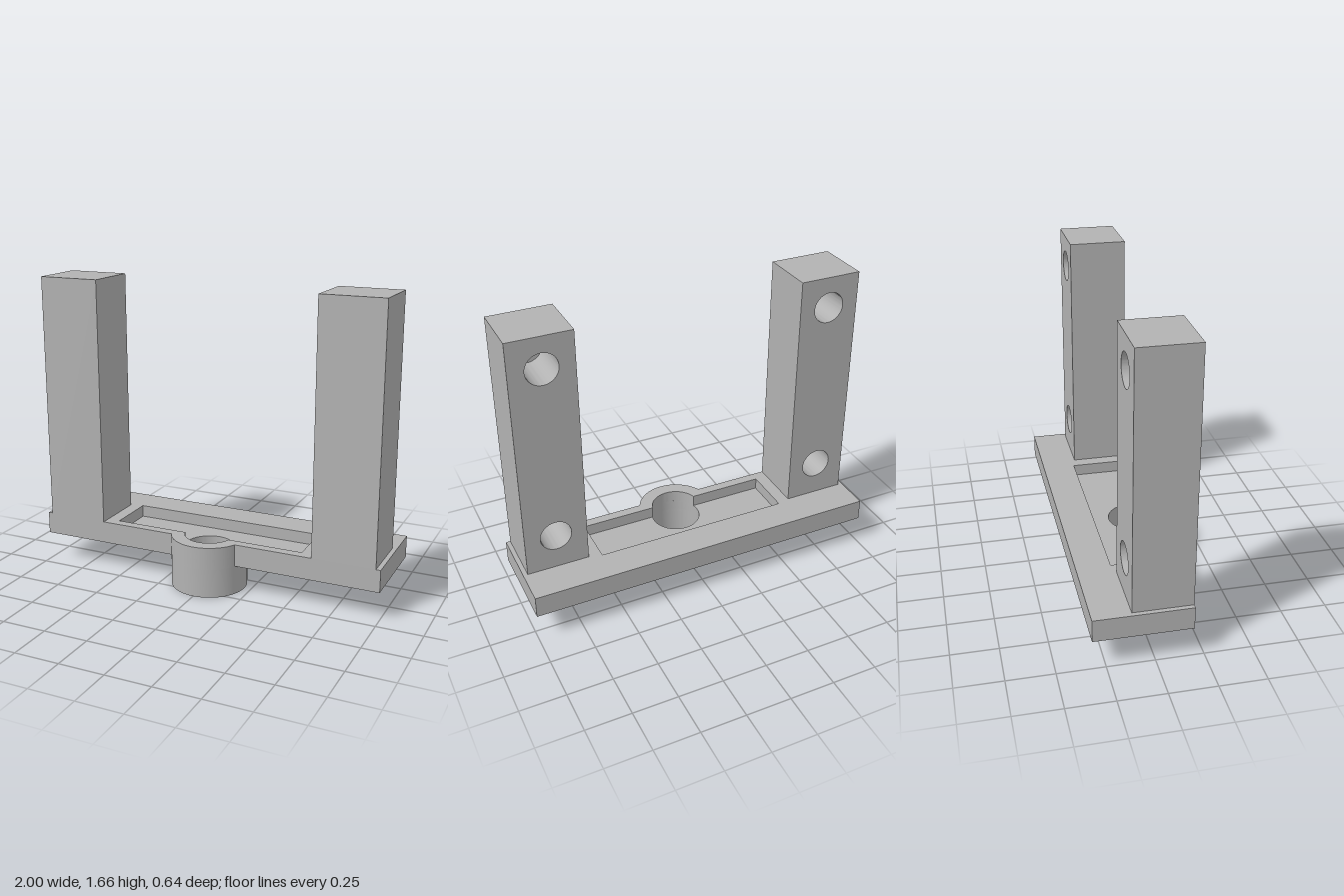
import * as THREE from 'three';
import { toCreasedNormals } from 'three/addons/utils/BufferGeometryUtils.js';

const CZ = 0.108, R_OUT = 0.211, R_IN = 0.137; // collar centre and radii
const BASE_Y = 0.163, FLOOR_Y = 0.22, TOP_Y = 0.287, POST_Y = 1.665;

// Rectangle in plan (x, z) whose front edge bulges out along a circle round the collar axis
function bulgedRect(target, halfW, back, front, r) {
  const a = Math.asin((front - CZ) / r);
  target.moveTo(-halfW, back);
  target.lineTo(halfW, back);
  target.lineTo(halfW, front);
  target.lineTo(r * Math.cos(a), front);
  target.absarc(0, CZ, r, a, Math.PI - a, false);
  target.lineTo(-halfW, front);
  target.closePath();
  return target;
}

const circle = (x, y, r) => new THREE.Path().absarc(x, y, r, 0, Math.PI * 2, true);

const extrude = (shape, depth) =>
  new THREE.ExtrudeGeometry(shape, { depth, bevelEnabled: false, curveSegments: 40 });

// Extrude a plan shape vertically between two heights
function slab(shape, y0, y1) {
  const g = extrude(shape, y1 - y0).rotateX(Math.PI / 2).translate(0, y1, 0);
  return toCreasedNormals(g, 0.5);
}

export function createModel() {
  const group = new THREE.Group();
  const grey = new THREE.MeshStandardMaterial({ color: 0xb2b2b2 });
  grey.name = 'grey';
  const add = (name, geometry, parent = group) => {
    const mesh = new THREE.Mesh(geometry, grey);
    mesh.name = name;
    parent.add(mesh);
  };

  // Base plate: floor with round bore, then rim around the shallow pocket
  const floor = bulgedRect(new THREE.Shape(), 1, -0.32, 0.197, R_OUT);
  floor.holes.push(circle(0, CZ, R_IN));
  add('baseFloor', slab(floor, BASE_Y, FLOOR_Y));

  const rim = bulgedRect(new THREE.Shape(), 1, -0.32, 0.197, R_OUT);
  rim.holes.push(bulgedRect(new THREE.Path(), 0.555, -0.135, 0.143, R_IN));
  add('baseRim', slab(rim, FLOOR_Y, TOP_Y));

  // Collar below the plate
  const ring = new THREE.Shape().absarc(0, CZ, R_OUT, 0, Math.PI * 2, false);
  ring.holes.push(circle(0, CZ, R_IN));
  add('collar', slab(ring, 0, BASE_Y));

  // Two posts, each with two blind holes in the back
  const w = 0.348, back = -0.118, holeEnd = 0.135, front = 0.197;
  for (const side of [1, -1]) {
    const post = new THREE.Group();
    post.name = side > 0 ? 'leftPost' : 'rightPost';
    post.position.x = side * 0.801;
    group.add(post);

    const face = new THREE.Shape();
    face.moveTo(-w / 2, TOP_Y);
    face.lineTo(w / 2, TOP_Y);
    face.lineTo(w / 2, POST_Y);
    face.lineTo(-w / 2, POST_Y);
    face.closePath();
    for (const y of [0.49, 1.49]) face.holes.push(circle(0, y, 0.087));
    const drilled = extrude(face, holeEnd - back).translate(0, 0, back);
    add('drilledBack', toCreasedNormals(drilled, 0.5), post);

    const solid = new THREE.BoxGeometry(w, POST_Y - TOP_Y, front - holeEnd);
    solid.translate(0, (POST_Y + TOP_Y) / 2, (front + holeEnd) / 2);
    add('solidFront', solid, post);
  }
  return group;
}
